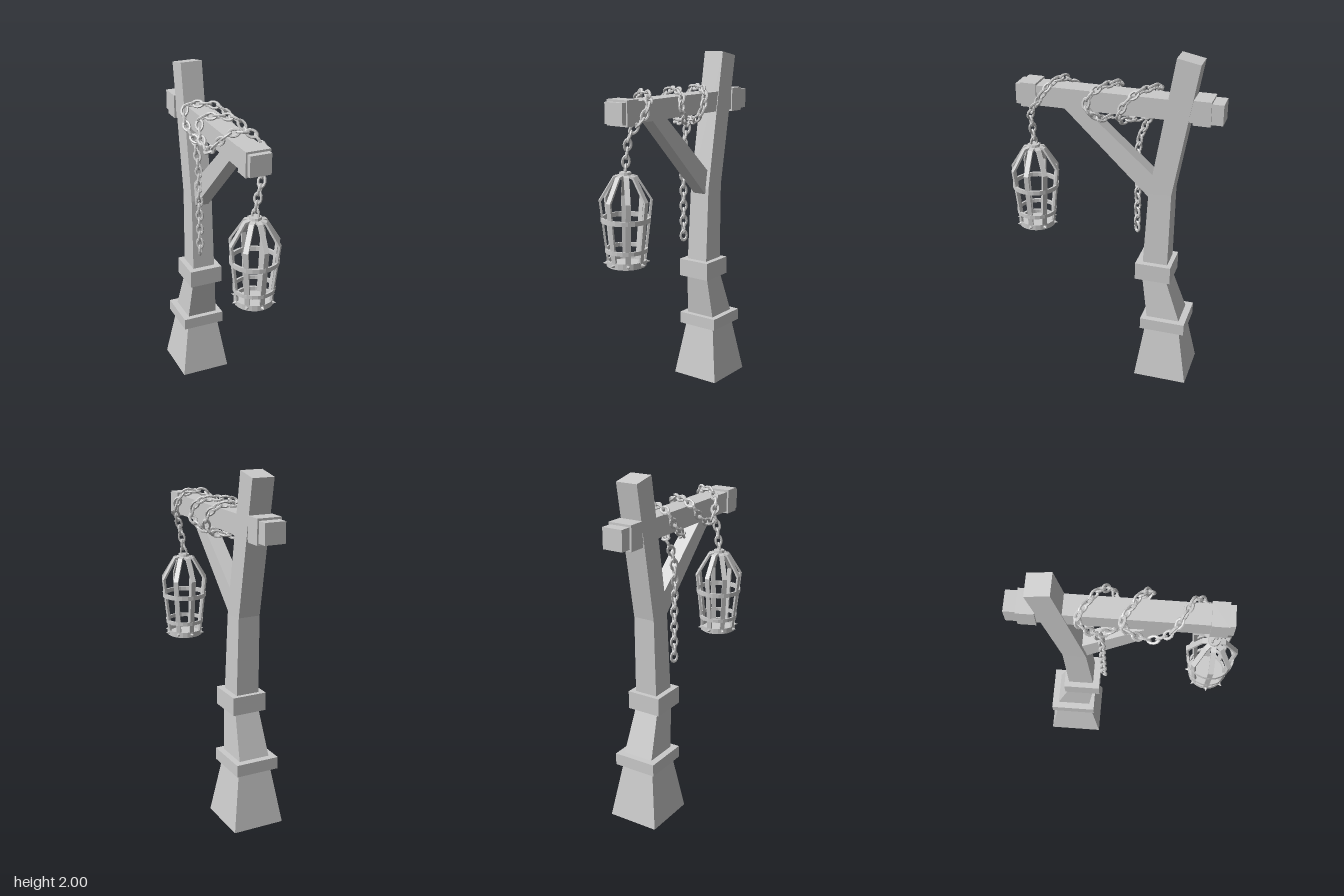
import * as THREE from 'three';

const mat = new THREE.MeshStandardMaterial({ color: 0xcccccc, flatShading: true });

function add(parent, name, geometry, x = 0, y = 0, z = 0) {
  const mesh = new THREE.Mesh(geometry, mat);
  mesh.name = name;
  mesh.position.set(x, y, z);
  parent.add(mesh);
  return mesh;
}

// Four-sided solid through sections [x0, x1, frontZ, frontY, backZ, backY], bottom to top
function loft(sections) {
  const rings = sections.map(([x0, x1, zf, yf, zb, yb]) =>
    [[x0, yf, zf], [x1, yf, zf], [x1, yb, zb], [x0, yb, zb]]);
  const pos = [];
  const quad = (a, b, c, d) => pos.push(...a, ...b, ...c, ...a, ...c, ...d);
  for (let i = 0; i + 1 < rings.length; i++) {
    for (let j = 0; j < 4; j++) {
      const k = (j + 1) % 4;
      quad(rings[i][j], rings[i][k], rings[i + 1][k], rings[i + 1][j]);
    }
  }
  const top = rings[rings.length - 1];
  quad(rings[0][3], rings[0][2], rings[0][1], rings[0][0]);
  quad(top[0], top[1], top[2], top[3]);
  const g = new THREE.BufferGeometry();
  g.setAttribute('position', new THREE.Float32BufferAttribute(pos, 3));
  g.computeVertexNormals();
  return g;
}

// Box given by its limits
function block(parent, name, x0, x1, y0, y1, z0, z1) {
  add(parent, name, new THREE.BoxGeometry(x1 - x0, y1 - y0, z1 - z0),
    (x0 + x1) / 2, (y0 + y1) / 2, (z0 + z1) / 2);
}

function createCage() {
  const cage = new THREE.Group();
  cage.name = 'cage';
  const barRadius = (y) => 0.102 + (y - 0.89) * 0.111;

  // Flat bars bent inwards at the shoulder, with a stud at each foot
  const w = 0.014;
  const bar = loft([
    [-w, w, 0.104, 0.89, 0.092, 0.89],
    [-w, w, 0.144, 1.25, 0.132, 1.247],
    [-w, w, 0.064, 1.379, 0.058, 1.367],
    [-w, w, 0.02, 1.388, 0.02, 1.375],
  ]);
  const stud = new THREE.ConeGeometry(0.011, 0.024, 6);
  stud.rotateX(Math.PI / 2);
  for (let i = 0; i < 8; i++) {
    const a = i * Math.PI / 4;
    add(cage, 'cageBar', bar).rotation.y = a;
    add(cage, 'stud', stud, Math.sin(a) * 0.118, 0.905, Math.cos(a) * 0.118).rotation.y = a;
  }

  // Hoops
  for (const [y, h] of [[0.905, 0.032], [0.977, 0.022], [1.145, 0.026]]) {
    const r = barRadius(y) + 0.005, q = r - 0.012, b = y - h / 2, t = y + h / 2;
    const profile = [[q, b], [r, b], [r, t], [q, t], [q, b]].map((p) => new THREE.Vector2(...p));
    add(cage, 'hoop', new THREE.LatheGeometry(profile, 24));
  }
  add(cage, 'cageFloor', new THREE.CylinderGeometry(0.104, 0.104, 0.012, 24), 0, 0.892, 0);
  add(cage, 'cageCap', new THREE.CylinderGeometry(0.032, 0.036, 0.026, 12), 0, 1.387, 0);
  cage.position.set(0.006, 0, 0.475);
  return cage;
}

function createChain() {
  const chain = new THREE.Group();
  chain.name = 'chain';
  // From the cage, three times around the beam, then hanging free
  const path = new THREE.CatmullRomCurve3([
    [0.006, 1.41, 0.475], [0.018, 1.5, 0.475], [0.04, 1.6, 0.472], [0.085, 1.69, 0.41],
    [0.06, 1.79, 0.34], [-0.04, 1.8, 0.29], [-0.1, 1.74, 0.24], [-0.12, 1.66, 0.14],
    [-0.118, 1.71, 0.04], [-0.09, 1.785, -0.015], [0, 1.8, 0.03], [0.08, 1.785, 0.08],
    [0.115, 1.71, 0.12], [0.085, 1.635, 0.06], [0, 1.625, 0], [-0.085, 1.63, -0.09],
    [-0.11, 1.71, -0.2], [-0.085, 1.785, -0.24], [0, 1.8, -0.195], [0.08, 1.785, -0.14],
    [0.118, 1.71, -0.08], [0.085, 1.635, -0.06], [0.01, 1.62, -0.11], [-0.05, 1.62, -0.195],
    [-0.06, 1.56, -0.165], [-0.06, 1.46, -0.133], [-0.058, 1.2, -0.13], [-0.056, 0.92, -0.13],
  ].map((p) => new THREE.Vector3(...p)));
  path.arcLengthDivisions = 800;

  const link = new THREE.TorusGeometry(0.0185, 0.0075, 6, 12);
  link.rotateX(Math.PI / 2);
  link.scale(1, 1, 1.5);
  const n = Math.round(path.getLength() / 0.046);
  const frames = path.computeFrenetFrames(n);
  for (let i = 0; i <= n; i++) {
    const mesh = add(chain, 'chainLink', link);
    const basis = new THREE.Matrix4().makeBasis(frames.normals[i], frames.binormals[i], frames.tangents[i]);
    mesh.quaternion.setFromRotationMatrix(basis);
    mesh.rotateZ((i % 2) * Math.PI / 2 + Math.PI / 4);
    mesh.position.copy(path.getPointAt(i / n));
  }
  return chain;
}

export function createModel() {
  const model = new THREE.Group();
  model.name = 'hangingCagePost';

  // Tapered foot, leaning middle and bent upper post
  add(model, 'foot', loft([
    [-0.157, 0.147, -0.178, 0, -0.495, 0],
    [-0.1, 0.09, -0.232, 0.36, -0.43, 0.36],
  ]));
  add(model, 'lowerPost', loft([
    [-0.1, 0.09, -0.24, 0.36, -0.445, 0.36],
    [-0.075, 0.065, -0.192, 0.7, -0.325, 0.7],
  ]));
  add(model, 'upperPost', loft([
    [-0.075, 0.063, -0.195, 0.7, -0.343, 0.7],
    [-0.07, 0.058, -0.222, 1.2, -0.353, 1.21],
    [-0.07, 0.058, -0.358, 2, -0.488, 1.974],
  ]));
  block(model, 'lowerCollar', -0.135, 0.122, 0.33, 0.4, -0.47, -0.203);
  block(model, 'upperCollar', -0.107, 0.095, 0.655, 0.76, -0.37, -0.16);

  // Beam with end bands, and its diagonal brace
  block(model, 'beam', -0.066, 0.054, 1.655, 1.77, -0.617, 0.55);
  block(model, 'frontBand', -0.076, 0.063, 1.644, 1.782, 0.428, 0.52);
  block(model, 'rearBand', -0.078, 0.063, 1.644, 1.782, -0.553, -0.456);
  add(model, 'brace', loft([
    [-0.048, 0.036, -0.25, 1.14, -0.275, 1.28],
    [-0.048, 0.036, 0.3, 1.675, 0.175, 1.675],
  ]));

  model.add(createCage(), createChain());
  return model;
}
